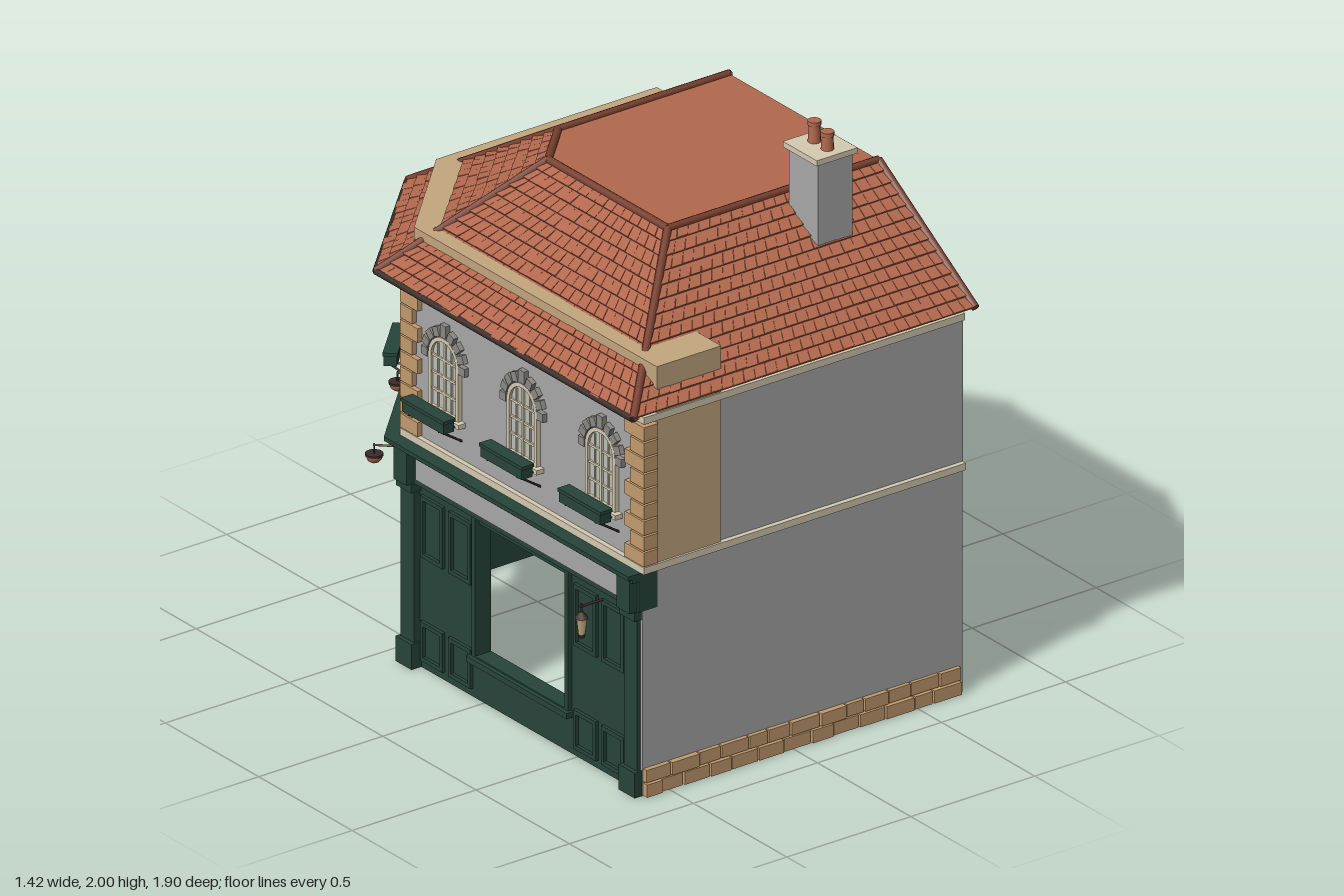
import * as THREE from 'three';
import { mergeGeometries } from 'three/addons/utils/BufferGeometryUtils.js';

const mat = (name, color, side = THREE.FrontSide) => {
  const m = new THREE.MeshStandardMaterial({ color, side });
  m.name = name;
  return m;
};

// Ground plan: back wall, chamfered corner, long right wall, front wall
const PLAN = [[0.69, -0.83], [-0.18, -0.83], [-0.59, -0.42], [-0.59, 0.86], [0.69, 0.86]];
const STREET = PLAN.slice(0, 4);

// Mitred offset of an open path; positive d goes outward
function offset(path, d) {
  const normals = path.slice(1).map((p, i) => {
    const dx = p[0] - path[i][0], dz = p[1] - path[i][1], l = Math.hypot(dx, dz);
    return [-dz / l, dx / l];
  });
  return path.map((p, i) => {
    const a = normals[Math.max(i - 1, 0)], b = normals[Math.min(i, normals.length - 1)];
    const k = d / (1 + a[0] * b[0] + a[1] * b[1]);
    return [p[0] + (a[0] + b[0]) * k, p[1] + (a[1] + b[1]) * k];
  });
}

// Solid from a plan outline between two heights
function prism(points, y0, y1) {
  const shape = new THREE.Shape(points.map(([x, z]) => new THREE.Vector2(x, -z)));
  return new THREE.ExtrudeGeometry(shape, { depth: y1 - y0, bevelEnabled: false })
    .rotateX(-Math.PI / 2).translate(0, y0, 0);
}
const strip = (path, d0, d1, y0, y1) => prism([...offset(path, d1), ...offset(path, d0).reverse()], y0, y1);

const block = (x0, x1, y0, y1, z0, z1) => new THREE.BoxGeometry(x1 - x0, y1 - y0, z1 - z0)
  .translate((x0 + x1) / 2, (y0 + y1) / 2, (z0 + z1) / 2);

function rod(a, b, r, sides = 8) {
  const d = b.clone().sub(a);
  const q = new THREE.Quaternion().setFromUnitVectors(new THREE.Vector3(0, 1, 0), d.clone().normalize());
  return new THREE.CylinderGeometry(r, r, d.length(), sides).applyQuaternion(q)
    .translate((a.x + b.x) / 2, (a.y + b.y) / 2, (a.z + b.z) / 2);
}
const V = (x, y, z) => new THREE.Vector3(x, y, z);

function rectPath(Type, u0, u1, y0, y1) {
  return new Type([[u0, y0], [u1, y0], [u1, y1], [u0, y1]].map(p => new THREE.Vector2(...p)));
}
function archPath(Type, r, y0, spring) {
  const p = new Type();
  p.moveTo(-r, y0); p.lineTo(r, y0); p.lineTo(r, spring);
  p.absarc(0, spring, r, 0, Math.PI, false); p.lineTo(-r, y0);
  return p;
}
const extrude = (shape, depth, z = 0) => new THREE.ExtrudeGeometry(shape, { depth, bevelEnabled: false, curveSegments: 8 }).translate(0, 0, z);

export function createModel() {
  const M = {
    tile: mat('terracotta', 0xb3684e), ridge: mat('ridge brown', 0x78402f), iron: mat('dark iron', 0x3a2c28),
    wall: mat('grey render', 0xa8a8a8), cream: mat('cream trim', 0xd6cbb2), sand: mat('sandstone', 0xc4a780),
    stone: mat('block stone', 0xc49c6e), green: mat('shop green', 0x27443a), pane: mat('window pane', 0xbcc1b4),
    arch: mat('arch stone', 0x8c8a86),
  };
  const model = new THREE.Group();
  const add = (name, material, geos, parent = model) => {
    const list = [].concat(geos).map(g => g.index ? g.toNonIndexed() : g);
    const mesh = new THREE.Mesh(list.length > 1 ? mergeGeometries(list) : list[0], material);
    mesh.name = name;
    parent.add(mesh);
  };
  let seed = 7;
  const rnd = () => (seed = (seed * 16807) % 2147483647) / 2147483647;

  // Upper walls, inner sandstone band and ceiling
  add('upperWalls', M.wall, strip(STREET, -0.05, 0, 0.79, 1.4));
  add('upperFrontWall', M.wall, block(-0.59, 0.69, 0.79, 1.4, 0.8, 0.86));
  add('upperSideWall', M.wall, block(0.63, 0.693, 0.79, 1.42, -0.83, 0.858));
  const inner = [[0.7, -0.79], [-0.19, -0.79], [-0.55, -0.43], [-0.55, 0.87]];
  add('innerBand', M.sand, strip(inner, -0.26, 0, 0.8, 1.525));
  add('ceiling', M.sand, prism(offset(PLAN, -0.04), 1.36, 1.38));

  // Mouldings that follow the plan
  add('stringCourse', M.cream, strip(PLAN, -0.01, 0.018, 0.8, 0.825));
  add('eavesCornice', M.cream, [strip(PLAN, -0.01, 0.015, 1.335, 1.36),
    strip(STREET, -0.01, 0.06, 1.37, 1.395), strip(PLAN.slice(3), -0.01, 0.02, 1.37, 1.395)]);
  add('fascia', M.green, strip(STREET, -0.05, 0.025, 0.66, 0.775));
  add('shopCornice', M.green, [strip(STREET, -0.05, 0.05, 0.77, 0.785), strip(STREET, -0.05, 0.068, 0.785, 0.8)]);

  // Lower front wall with two courses of plinth stones
  add('lowerFrontWall', M.wall, block(-0.6, 0.69, 0, 0.8, 0.83, 0.86));
  const stones = [];
  for (let row = 0; row < 2; row++) {
    for (let x = -0.6; x < 0.67;) {
      const end = Math.min(x + 0.07 + rnd() * 0.05, 0.69);
      stones.push(block(x + 0.003, end - 0.003, row * 0.051 + 0.002, row * 0.051 + 0.047, 0.85, 0.872 + rnd() * 0.01));
      x = end;
    }
  }
  add('plinthStones', M.stone, stones);

  // Quoins wrapped round the corners
  const quoins = [];
  for (let k = 0; k < 9; k++) {
    const y = 0.828 + k * 0.056, w = k % 2 ? 0.055 : 0.085;
    for (const i of [1, 2, 3]) {
      const c = PLAN[i], toward = (p, s) => {
        const l = Math.hypot(p[0] - c[0], p[1] - c[1]);
        return [c[0] + (p[0] - c[0]) * s / l, c[1] + (p[1] - c[1]) * s / l];
      };
      quoins.push(strip([toward(PLAN[i - 1], w), c, toward(PLAN[i + 1], i === 3 ? 0.04 : w)], -0.005, 0.018, y, y + 0.05));
    }
    quoins.push(block(0.69 - w, 0.694, y, y + 0.05, -0.848, -0.82));
  }
  add('quoins', M.stone, quoins);

  // Arched upper window with voussoirs and flower box
  function upperWindow(parent, u) {
    const g = new THREE.Group();
    g.name = 'upperWindow';
    g.position.x = u;
    parent.add(g);
    const frame = archPath(THREE.Shape, 0.08, 0.96, 1.15);
    frame.holes.push(archPath(THREE.Path, 0.066, 0.972, 1.15));
    add('pane', M.pane, extrude(archPath(THREE.Shape, 0.072, 0.965, 1.15), 0.006), g);
    add('frame', M.cream, [extrude(frame, 0.016), block(-0.005, 0.005, 0.97, 1.22, 0, 0.013),
      ...[1.03, 1.09, 1.15].map(y => block(-0.07, 0.07, y - 0.004, y + 0.004, 0, 0.012)),
      ...[-1, 1].map(s => block(s * 0.036 - 0.003, s * 0.036 + 0.003, 0.97, 1.2, 0, 0.011)),
      block(-0.1, 0.1, 0.945, 0.962, 0, 0.03)], g);
    const blocks = [];
    for (let k = 0; k < 9; k++) {
      blocks.push(block(-0.015, 0.015, 0.083, k === 4 ? 0.128 : 0.116, 0, 0.018)
        .rotateZ((k / 8 - 0.5) * Math.PI).translate(0, 1.15, 0));
    }
    add('archStones', M.arch, blocks, g);
    add('flowerBox', M.green, [block(-0.11, 0.11, 0.952, 0.995, 0.055, 0.098), block(-0.115, 0.115, 0.988, 1, 0.052, 0.101)], g);
    add('boxBrackets', M.iron, [-0.08, 0.08].flatMap(x => [rod(V(x, 0.89, 0), V(x, 0.95, 0.09), 0.004, 6), rod(V(x, 0.95, 0), V(x, 0.95, 0.095), 0.004, 6)]), g);
  }

  function lantern(parent, u) {
    add('lanternIron', M.iron, [rod(V(u, 0.63, 0.02), V(u, 0.63, 0.11), 0.005, 6), rod(V(u, 0.6, 0.105), V(u, 0.64, 0.105), 0.004, 6),
      new THREE.CylinderGeometry(0.006, 0.024, 0.022, 6).translate(u, 0.6, 0.105), new THREE.CylinderGeometry(0.014, 0.01, 0.012, 6).translate(u, 0.525, 0.105)], parent);
    add('lanternGlass', M.sand, new THREE.CylinderGeometry(0.02, 0.012, 0.06, 6).translate(u, 0.56, 0.105), parent);
  }
  function basket(parent, u) {
    add('hangingBasket', M.tile, new THREE.SphereGeometry(0.028, 12, 6, 0, Math.PI * 2, Math.PI / 2, Math.PI / 2).translate(u, 0.71, 0.106), parent);
    add('basketIron', M.iron, [new THREE.CylinderGeometry(0.03, 0.03, 0.008, 12).translate(u, 0.712, 0.106),
      rod(V(u, 0.745, 0.02), V(u, 0.745, 0.11), 0.004, 6), rod(V(u, 0.71, 0.106), V(u, 0.75, 0.106), 0.003, 6)], parent);
  }

  // Street facades, built in local frames: x along the wall, z outward
  const facades = [
    { name: 'backFacade', holes: [[0.2, 0.66, 0.16, 0.655]], posts: [0.045, 0.72, 0.83], panels: [[0.1, 0.17]], windows: [0.23, 0.63], lamps: [0.76] },
    { name: 'cornerFacade', holes: [[0.14, 0.41, 0.004, 0.63], [0.45, 0.55, 0.21, 0.375]], posts: [0.035], panels: [[0.45, 0.55]], windows: [0.29], baskets: [0.02, 0.56] },
    { name: 'sideFacade', holes: [[0.39, 0.87, 0.16, 0.655]], posts: [0.04, 1.235], panels: [[0.09, 0.21], [0.24, 0.36], [0.91, 1.03], [1.06, 1.18]], windows: [0.22, 0.64, 1.06], lamps: [1.08] },
  ];
  facades.forEach((f, i) => {
    const a = PLAN[i], b = PLAN[i + 1], dx = b[0] - a[0], dz = b[1] - a[1], len = Math.hypot(dx, dz);
    const g = new THREE.Group();
    g.name = f.name;
    g.position.set(a[0], 0, a[1]);
    g.rotation.y = Math.atan2(-dz, dx);
    model.add(g);
    const wall = rectPath(THREE.Shape, 0, len, 0, 0.7);
    f.holes.forEach(h => wall.holes.push(rectPath(THREE.Path, ...h)));
    add('shopWall', M.green, extrude(wall, 0.05, -0.05), g);
    const trim = [];
    // Opening surrounds, and a transom and sill on the shop windows
    f.holes.forEach(([u0, u1, y0, y1]) => {
      const s = rectPath(THREE.Shape, u0 - 0.018, u1 + 0.018, Math.max(0, y0 - 0.018), y1 + 0.012);
      s.holes.push(rectPath(THREE.Path, u0, u1, y0, y1));
      trim.push(extrude(s, 0.015));
      if (i !== 1) trim.push(block(u0, u1, 0.63, 0.642, -0.03, 0), block(u0 - 0.03, u1 + 0.03, 0.135, 0.155, 0, 0.03));
    });
    // Pilasters with base, capital and bracket
    f.posts.forEach(u => trim.push(block(u - 0.035, u + 0.035, 0, 0.66, 0, 0.025), block(u - 0.043, u + 0.043, 0, 0.09, 0, 0.04),
      block(u - 0.041, u + 0.041, 0.63, 0.66, 0, 0.04), block(u - 0.035, u + 0.035, 0.66, 0.79, 0, 0.055)));
    // Raised panel frames, upper and lower
    f.panels.forEach(([u0, u1]) => [[0.03, 0.17], [0.4, 0.62]].forEach(([y0, y1]) => {
      const s = rectPath(THREE.Shape, u0, u1, y0, y1);
      s.holes.push(rectPath(THREE.Path, u0 + 0.015, u1 - 0.015, y0 + 0.015, y1 - 0.015));
      trim.push(extrude(s, 0.012));
    }));
    add('shopTrim', M.green, trim, g);
    add('signBoard', M.wall, block(0.09, len - 0.09, 0.68, 0.76, 0.022, 0.03), g);
    const dentils = [], n = Math.round(len / 0.045);
    for (let k = 0; k < n; k++) dentils.push(block((k + 0.25) * len / n, (k + 0.75) * len / n, 1.345, 1.375, 0, 0.04));
    add('dentils', M.cream, dentils, g);
    f.windows.forEach(u => upperWindow(g, u));
    (f.lamps || []).forEach(u => lantern(g, u));
    (f.baskets || []).forEach(u => basket(g, u));
  });

  // Hipped roof with a flat top and a cut end
  const E = [[0.69, -0.93], [-0.2, -0.93], [-0.69, -0.45], [-0.69, 0.93], [0.69, 0.93]].map(([x, z]) => V(x, 1.4, z));
  const T = [[0.69, -0.39], [0, -0.39], [-0.16, -0.23], [-0.16, 0.41], [0.69, 0.41]].map(([x, z]) => V(x, 1.73, z));
  const pos = [];
  const tri = (...p) => p.forEach(v => pos.push(v.x, v.y, v.z));
  const quad = (a, b, c, d) => { tri(a, b, c); tri(a, c, d); };
  quad(E[4], E[0], T[0], T[4]);
  for (let i = 1; i < 4; i++) { tri(T[0], T[i], T[i + 1]); tri(E[0], E[i + 1], E[i]); }
  const ROWS = 13;
  for (let i = 0; i < 4; i++) {
    quad(E[i], E[i + 1], T[i + 1], T[i]);
    const n = E[i + 1].clone().sub(E[i]).cross(T[i].clone().sub(E[i])).normalize();
    const at = (u, t, lift) => E[i].clone().lerp(T[i], t).lerp(E[i + 1].clone().lerp(T[i + 1], t), u).addScaledVector(n, lift);
    // Overlapping tiles, each tipped up at its lower edge
    for (let k = 0; k < ROWS; k++) {
      const t0 = k / ROWS, t1 = (k + 1) / ROWS;
      const count = Math.round(at(0, t0, 0).distanceTo(at(1, t0, 0)) / 0.045);
      for (let j = 0; j < count; j++) {
        const u0 = j / count, u1 = (j + 0.96) / count, h = 0.007 + rnd() * 0.004;
        const a = at(u0, t0, h), b = at(u1, t0, h), c = at(u1, t1, 0.001), d = at(u0, t1, 0.001);
        const a0 = at(u0, t0, 0), b0 = at(u1, t0, 0);
        quad(a, b, c, d); quad(a0, b0, b, a); tri(a0, a, d); tri(b, b0, c);
      }
    }
  }
  const roof = new THREE.BufferGeometry();
  roof.setAttribute('position', new THREE.Float32BufferAttribute(pos, 3));
  roof.computeVertexNormals();
  add('roof', M.tile, roof);
  const caps = E.map((e, i) => rod(e, T[i], 0.014)).concat(T.slice(1).map((t, i) => rod(T[i], t, 0.014)));
  add('ridgeCaps', M.ridge, caps);
  add('gutter', M.iron, [0, 1, 2].map(i => rod(E[i], E[i + 1], 0.011)));

  // Chimney
  add('chimneyStack', M.wall, block(0.295, 0.435, 1.5, 1.91, 0.455, 0.61));
  add('chimneyCap', M.cream, block(0.282, 0.446, 1.905, 1.925, 0.44, 0.622));
  add('chimneyPots', M.tile, [0.5, 0.57].flatMap((z, i) => [
    new THREE.CylinderGeometry(0.018, 0.022, 0.075 - i * 0.012, 12).translate(0.364, 1.96 - i * 0.006, z),
    new THREE.CylinderGeometry(0.023, 0.023, 0.015, 12).translate(0.364, 1.9925 - i * 0.012, z)]));
  return model;
}
